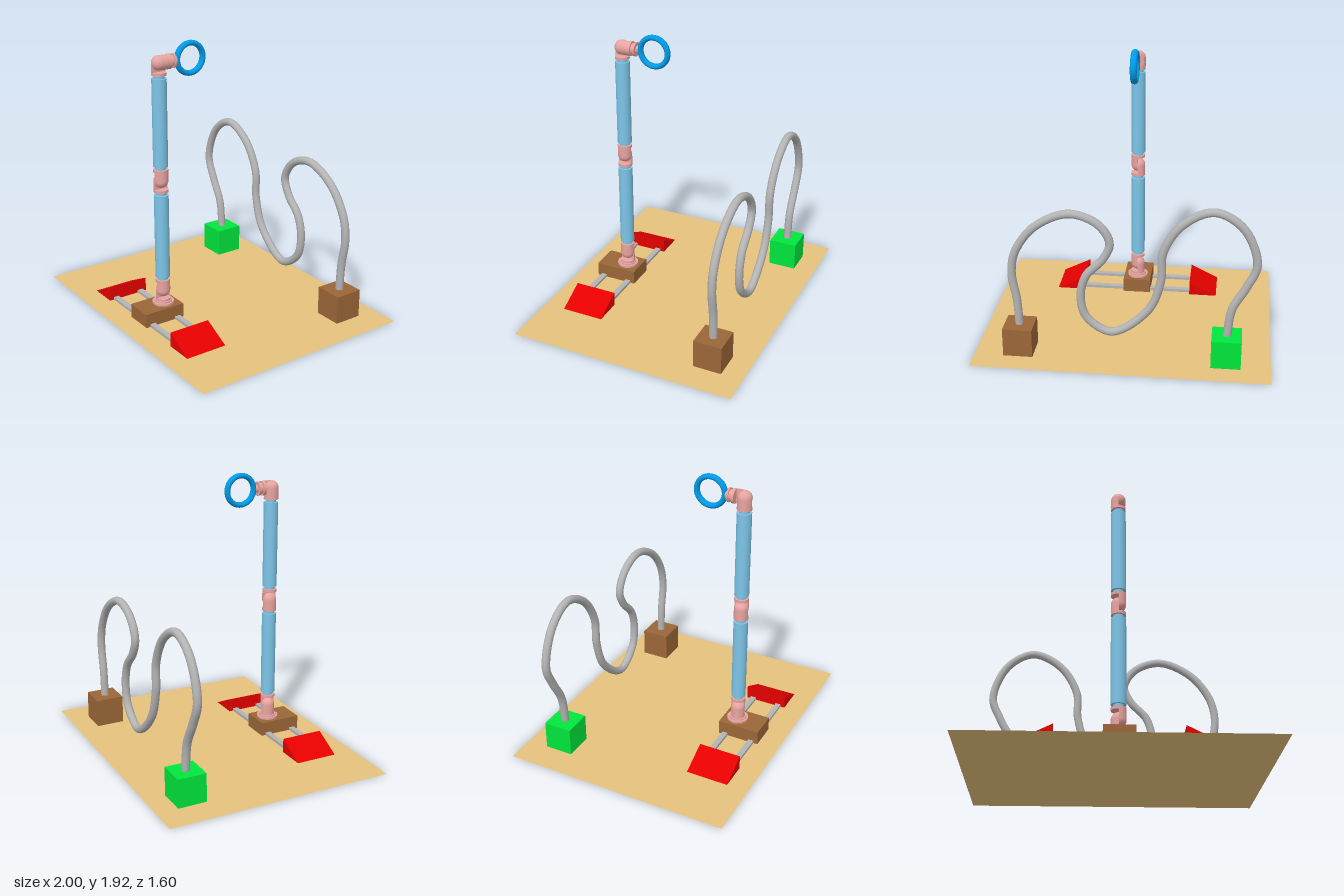
import * as THREE from 'three';

const mat = (name, color, side = THREE.FrontSide) => {
  const m = new THREE.MeshStandardMaterial({ color, side });
  m.name = name;
  return m;
};

export function createModel() {
  const root = new THREE.Group();
  const tan = mat('tan', 0xe5c27d, THREE.DoubleSide);
  const brown = mat('brown', 0x9b6638);
  const green = mat('green', 0x00e63c);
  const red = mat('red', 0xe60000);
  const grey = mat('grey', 0xb3b3b3);
  const pink = mat('pink', 0xf0aaa6, THREE.DoubleSide);
  const sky = mat('sky blue', 0x82cef2);
  const blue = mat('blue', 0x00a0f0);

  const add = (parent, name, geo, material, x = 0, y = 0, z = 0) => {
    const m = new THREE.Mesh(geo, material);
    m.name = name;
    m.position.set(x, y, z);
    parent.add(m);
    return m;
  };
  const group = (parent, name, x, y, z) => {
    const g = new THREE.Group();
    g.name = name;
    g.position.set(x, y, z);
    parent.add(g);
    return g;
  };

  // Floor plate, with everything else resting just above it
  add(root, 'floor', new THREE.PlaneGeometry(2, 1.6).rotateX(-Math.PI / 2), tan);
  const parts = group(root, 'parts', 0, 0.002, 0);
  const box = (name, w, h, d, material, x, y, z) =>
    add(parts, name, new THREE.BoxGeometry(w, h, d), material, x, y, z);

  // Start and end blocks
  box('startBlock', 0.2, 0.2, 0.2, green, -0.7, 0.1, -0.55);
  box('endBlock', 0.2, 0.2, 0.2, brown, 0.7, 0.1, -0.55);

  // Winding pipe between the blocks
  const path = [
    [-0.7, 0.19], [-0.727, 0.395], [-0.815, 0.565], [-0.877, 0.73], [-0.78, 0.98], [-0.594, 1.083],
    [-0.39, 0.984], [-0.268, 0.78], [-0.257, 0.58], [-0.176, 0.358], [0.07, 0.176], [0.24, 0.28],
    [0.277, 0.43], [0.24, 0.585], [0.125, 0.715], [0.08, 0.834], [0.16, 0.965], [0.347, 1.027],
    [0.572, 0.925], [0.706, 0.743], [0.738, 0.583], [0.71, 0.38], [0.7, 0.19],
  ].map(([x, y]) => new THREE.Vector3(x, y, -0.55));
  add(parts, 'pipe', new THREE.TubeGeometry(new THREE.CatmullRomCurve3(path), 240, 0.028, 20), grey);

  // Sliding base: rails, end wedges and carriage
  for (const z of [0.4, 0.6]) box('rail', 0.8, 0.02, 0.04, grey, 0, 0.01, z);
  const wedge = new THREE.Shape([[0.4, 0], [0.6, 0], [0.4, 0.1]].map((p) => new THREE.Vector2(...p)));
  for (const turn of [0, Math.PI]) {
    const geo = new THREE.ExtrudeGeometry(wedge, { depth: 0.3, bevelEnabled: false });
    geo.translate(0, 0, -0.15).rotateY(turn);
    add(parts, 'endWedge', geo, red, 0, 0, 0.5);
  }
  box('carriage', 0.2, 0.1, 0.3, brown, 0, 0.05, 0.5);

  // Jointed arm
  const arm = group(parts, 'arm', 0, 0, 0.45);
  const disc = (parent, name, r, y0, y1, material) =>
    add(parent, name, new THREE.CylinderGeometry(r, r, y1 - y0, 40), material, 0, (y0 + y1) / 2, 0);

  // Half-round knuckle: half cylinder with a domed end, a flat inner face and an end disc
  const R = 0.05;
  const profile = [];
  for (let i = 0; i <= 10; i++) {
    const a = (i / 10) * Math.PI / 2;
    profile.push(new THREE.Vector2(R * Math.sin(a), -R * Math.cos(a)));
  }
  profile.push(new THREE.Vector2(R, 0.075));
  const outline = [...profile, ...profile.map((p) => new THREE.Vector2(-p.x, p.y)).reverse()];
  const knuckle = (parent) => {
    add(parent, 'knuckleShell', new THREE.LatheGeometry(profile, 20, 0, Math.PI), pink);
    const face = new THREE.ShapeGeometry(new THREE.Shape(outline)).rotateY(-Math.PI / 2);
    add(parent, 'knuckleFace', face, pink, 0.0005);
    disc(parent, 'jointDisc', R, 0.06, 0.08, pink);
    return parent;
  };
  // Two knuckles side by side; the outer one bends about the x axis
  const joint = (y, bend) => {
    knuckle(group(arm, 'innerKnuckle', 0, y, 0)).rotation.z = Math.PI;
    const outer = knuckle(group(arm, 'outerKnuckle', 0, y, 0));
    outer.rotation.x = bend;
    return outer;
  };
  joint(0.2, 0);
  joint(1.0, 0);
  const wrist = joint(1.8, -Math.PI / 2);
  disc(arm, 'baseFlange', 0.075, 0.1, 0.115, pink);
  disc(arm, 'baseCollar', 0.06, 0.115, 0.125, pink);

  // Long links with narrow necks
  for (const y of [0.3, 1.1]) {
    disc(arm, 'link', R, y, y + 0.6, sky);
    disc(arm, 'linkNeck', 0.035, y - 0.02, y, sky);
    disc(arm, 'linkNeck', 0.035, y + 0.6, y + 0.62, sky);
  }

  // Tool mount and ring at the end of the wrist
  disc(wrist, 'mountNeck', 0.038, 0.08, 0.1, pink);
  disc(wrist, 'mountDisc', 0.048, 0.1, 0.113, pink);
  disc(wrist, 'mountTip', 0.025, 0.113, 0.13, pink);
  const ring = new THREE.TorusGeometry(0.1, 0.0185, 20, 64).scale(1, 1, 1.3).rotateY(Math.PI / 2);
  add(wrist, 'toolRing', ring, blue, 0, 0.24, 0);

  return root;
}
